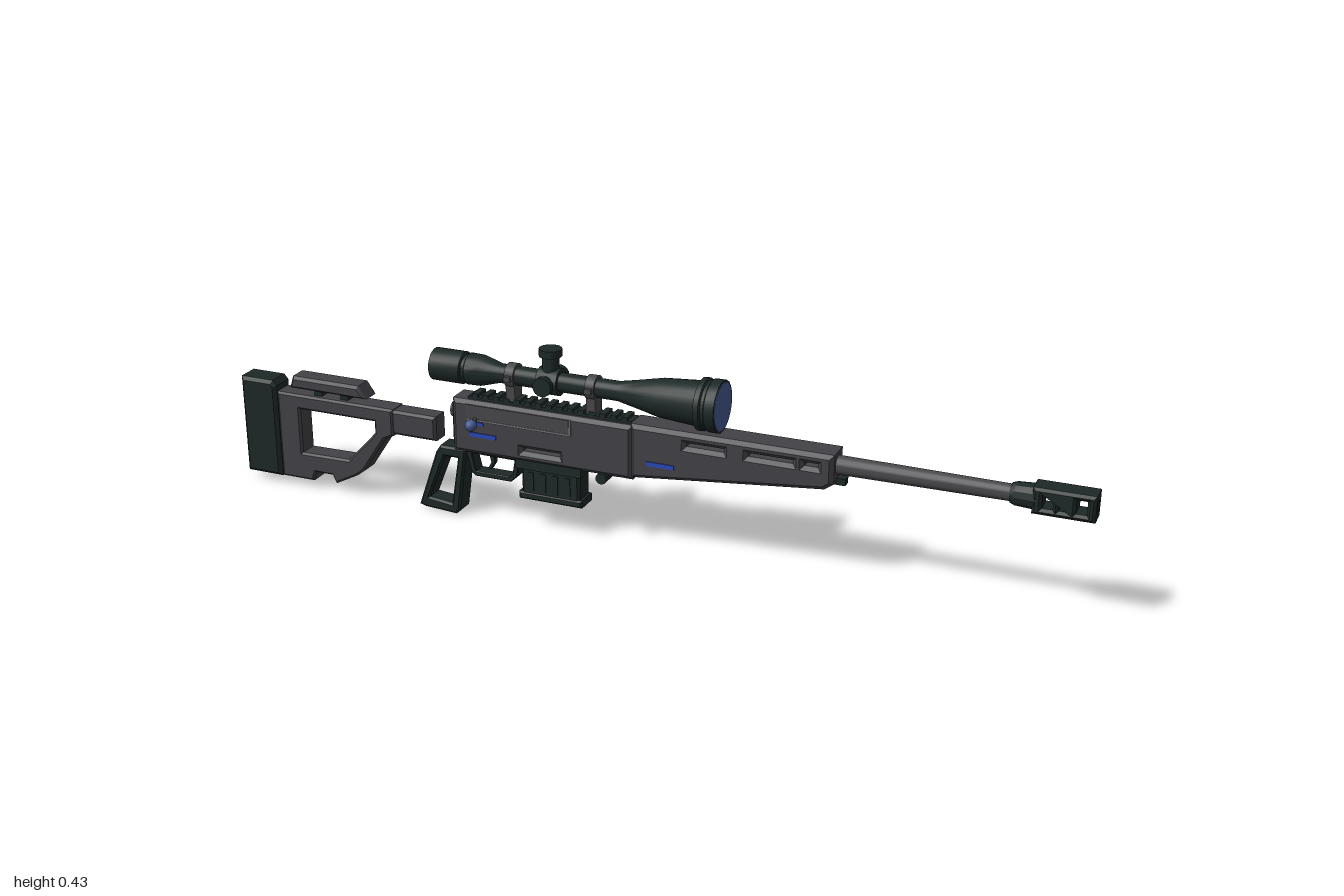
import * as THREE from 'three';
import { toCreasedNormals } from 'three/addons/utils/BufferGeometryUtils.js';

const material = (name, color) => Object.assign(new THREE.MeshStandardMaterial({ color }), { name });

export function createModel() {
  const grey = material('body grey', 0x424247);
  const steel = material('barrel steel', 0x48484b);
  const dark = material('dark green black', 0x1d2927);
  const blue = material('accent blue', 0x2848b8);
  const glass = material('lens blue', 0x465a90);
  const light = material('edge grey', 0x808084);

  const root = new THREE.Group();
  root.name = 'rifle';
  root.position.z = -0.005;

  const add = (name, geometry, mat, x = 0, y = 0, z = 0) => {
    const mesh = new THREE.Mesh(geometry, mat);
    mesh.name = name;
    mesh.position.set(x, y, z);
    root.add(mesh);
    return mesh;
  };
  const box = (name, mat, x0, x1, y0, y1, w, z = 0) =>
    add(name, new THREE.BoxGeometry(x1 - x0, y1 - y0, w), mat, (x0 + x1) / 2, (y0 + y1) / 2, z);
  const rect = (x0, x1, y0, y1) => [[x0, y0], [x1, y0], [x1, y1], [x0, y1]];
  const vectors = (pts) => pts.map(([x, y]) => new THREE.Vector2(x, y));

  // Side outline extruded across the width, with chamfered edges
  const slab = (name, mat, pts, width, bevel = 0.006, holes = []) => {
    const shape = new THREE.Shape(vectors(pts));
    holes.forEach((h) => shape.holes.push(new THREE.Path(vectors(h))));
    const geometry = new THREE.ExtrudeGeometry(shape, {
      depth: width - 2 * bevel, bevelEnabled: bevel > 0, bevelSegments: 1,
      bevelSize: bevel, bevelThickness: bevel, bevelOffset: -bevel,
    });
    geometry.translate(0, 0, -(width - 2 * bevel) / 2);
    return add(name, geometry, mat);
  };

  // Profile of [x, radius] turned about the long axis
  const turned = (name, mat, profile, y, sides = 20) => {
    const geometry = new THREE.LatheGeometry(vectors(profile.map(([x, r]) => [r, x])), sides);
    geometry.rotateZ(-Math.PI / 2);
    return add(name, toCreasedNormals(geometry, 0.5), mat, 0, y);
  };
  const cylinder = (name, mat, r, h, x, y, z, axis = 'y', sides = 16) => {
    const geometry = new THREE.CylinderGeometry(r, r, h, sides);
    if (axis === 'x') geometry.rotateZ(Math.PI / 2);
    if (axis === 'z') geometry.rotateX(Math.PI / 2);
    return add(name, toCreasedNormals(geometry, 0.5), mat, x, y, z);
  };

  // Shoulder stock
  slab('buttPad', dark, [[-1, 0.022], [-0.905, 0.022], [-0.905, 0.25], [-0.915, 0.262], [-1, 0.262]], 0.066, 0.008);
  slab('stockFrame', grey, [
    [-0.905, 0.022], [-0.82, 0.022], [-0.812, 0.045], [-0.768, 0.045], [-0.758, 0.025], [-0.7, 0.055],
    [-0.68, 0.07], [-0.62, 0.16], [-0.595, 0.172], [-0.595, 0.236], [-0.905, 0.236],
  ], 0.054, 0.005, [[[-0.845, 0.09], [-0.72, 0.092], [-0.655, 0.16], [-0.645, 0.172], [-0.645, 0.2], [-0.845, 0.2]]]);
  slab('stockJoint', grey, rect(-0.6, -0.485, 0.175, 0.234), 0.05);
  slab('cheekRest', grey, [[-0.87, 0.25], [-0.665, 0.25], [-0.685, 0.28], [-0.86, 0.28]], 0.054, 0.007);
  for (const x of [-0.8, -0.73]) box('cheekPost', dark, x - 0.01, x + 0.01, 0.23, 0.255, 0.025);

  // Receiver and tapering handguard
  slab('receiver', grey, rect(-0.435, 0.005, 0.166, 0.293), 0.07, 0.009,
    [rect(-0.262, -0.172, 0.19, 0.198)]);
  slab('handguard', grey, [[0, 0.172], [0.44, 0.218], [0.46, 0.232], [0.46, 0.298], [0, 0.298]], 0.073, 0.009,
    [[0.13, 0.215], [0.27, 0.37], [0.395, 0.425]].map(([a, b]) => rect(a, b, 0.265, 0.273)));
  box('forwardStud', dark, 0.45, 0.48, 0.225, 0.24, 0.02);
  box('receiverBackPlate', dark, -0.438, -0.432, 0.18, 0.28, 0.05);
  cylinder('boltRear', steel, 0.019, 0.02, -0.438, 0.255, 0, 'x');

  // Ejection port edging
  box('portPlate', steel, -0.4, -0.145, 0.25, 0.285, 0.004, 0.0355);
  box('portLowerEdge', light, -0.4, -0.14, 0.248, 0.252, 0.004, 0.037);
  box('portEndEdge', light, -0.144, -0.14, 0.252, 0.286, 0.004, 0.037);

  // Bolt handle
  const handle = cylinder('boltHandle', steel, 0.006, 0.035, -0.375, 0.25, 0.04, 'z', 8);
  handle.rotation.x = 0.3;
  add('boltKnob', new THREE.IcosahedronGeometry(0.014, 1), glass, -0.375, 0.245, 0.058);

  // Painted accents on both sides
  for (const side of [-1, 1]) {
    box('rearAccent', blue, -0.39, -0.325, 0.209, 0.219, 0.004, side * 0.0355);
    box('frontAccent', blue, 0.04, 0.105, 0.209, 0.219, 0.004, side * 0.037);
    box('smallAccent', blue, -0.385, -0.355, 0.238, 0.245, 0.004, side * 0.0355);
  }

  // Side lever and pivot ahead of the magazine
  cylinder('leverPivot', dark, 0.013, 0.08, -0.067, 0.16, 0, 'z', 10);
  box('sideLever', dark, -0.077, -0.057, 0.135, 0.175, 0.006, -0.042);

  // Top rail
  box('topRail', dark, -0.4, 0, 0.29, 0.299, 0.04);
  for (let i = 0; i < 15; i++) box('railTooth', dark, -0.39 + i * 0.026, -0.376 + i * 0.026, 0.297, 0.306, 0.04);

  // Grip, trigger and guard
  slab('grip', dark, [[-0.535, 0.012], [-0.52, 0.008], [-0.44, 0.003], [-0.43, 0.012], [-0.408, 0.168], [-0.475, 0.168], [-0.487, 0.15]],
    0.052, 0.005, [[[-0.508, 0.034], [-0.45, 0.028], [-0.431, 0.143], [-0.464, 0.143]]]);
  slab('triggerGuard', dark, [[-0.415, 0.17], [-0.4, 0.112], [-0.39, 0.104], [-0.3, 0.104], [-0.285, 0.118], [-0.275, 0.17]],
    0.034, 0.002, [[[-0.398, 0.158], [-0.388, 0.116], [-0.305, 0.116], [-0.296, 0.124], [-0.29, 0.158]]]);
  slab('trigger', dark, [[-0.36, 0.165], [-0.345, 0.165], [-0.344, 0.14], [-0.355, 0.122], [-0.362, 0.124], [-0.354, 0.14]], 0.014, 0.001);

  // Magazine
  slab('magazine', dark, rect(-0.268, -0.125, 0.08, 0.17), 0.055, 0.006);
  slab('magazineBase', dark, rect(-0.274, -0.119, 0.074, 0.092), 0.06, 0.004);
  box('magazineCollar', dark, -0.28, -0.12, 0.148, 0.17, 0.062);
  for (let i = 0; i < 4; i++) box('magazineRib', dark, -0.25 + i * 0.03, -0.237 + i * 0.03, 0.098, 0.142, 0.06);

  // Barrel and vented muzzle brake
  turned('barrel', steel, [[0.44, 0], [0.44, 0.021], [0.84, 0.018], [0.84, 0]], 0.267);
  turned('muzzleCollar', dark, [[0.825, 0], [0.825, 0.021], [0.835, 0.025], [0.885, 0.028], [0.885, 0]], 0.267, 12);
  slab('muzzleBrake', dark, rect(0.872, 1, 0.238, 0.296), 0.055, 0.006,
    [0.892, 0.926, 0.96].map((x) => rect(x, x + 0.022, 0.252, 0.282)));
  cylinder('muzzleBore', dark, 0.012, 0.003, 0.9995, 0.267, 0, 'x');

  // Telescopic sight
  const axis = 0.357;
  turned('scopeBody', dark, [
    [-0.49, 0], [-0.49, 0.037], [-0.415, 0.037], [-0.412, 0.032], [-0.405, 0.032], [-0.402, 0.036], [-0.37, 0.035],
    [-0.325, 0.022], [-0.04, 0.022], [0.0, 0.03], [0.06, 0.043], [0.15, 0.05], [0.153, 0.058], [0.165, 0.058],
    [0.168, 0.054], [0.175, 0.054], [0.178, 0.058], [0.2, 0.058], [0.2, 0.051], [0.196, 0],
  ], axis, 22);
  cylinder('frontLens', glass, 0.053, 0.004, 0.199, axis, 0, 'x', 22);
  cylinder('rearLens', glass, 0.031, 0.004, -0.49, axis, 0, 'x', 22);
  for (const x of [-0.295, -0.1]) {
    cylinder('scopeRing', steel, 0.028, 0.022, x, axis, 0, 'x', 18);
    box('ringFoot', steel, x - 0.011, x + 0.011, 0.3, 0.34, 0.036);
    box('ringClamp', steel, x - 0.008, x + 0.008, axis - 0.006, axis + 0.006, 0.07);
  }
  // Adjustment turrets
  cylinder('turretHub', dark, 0.031, 0.05, -0.203, axis, 0, 'x', 18);
  cylinder('topTurretNeck', dark, 0.019, 0.04, -0.203, 0.397, 0);
  cylinder('topTurretDial', dark, 0.026, 0.017, -0.203, 0.424, 0);
  cylinder('sideTurretNeck', dark, 0.018, 0.08, -0.203, axis, 0, 'z');
  for (const side of [-1, 1]) cylinder('sideTurretDial', dark, 0.022, 0.014, -0.203, axis, side * 0.042, 'z');

  return root;
}
